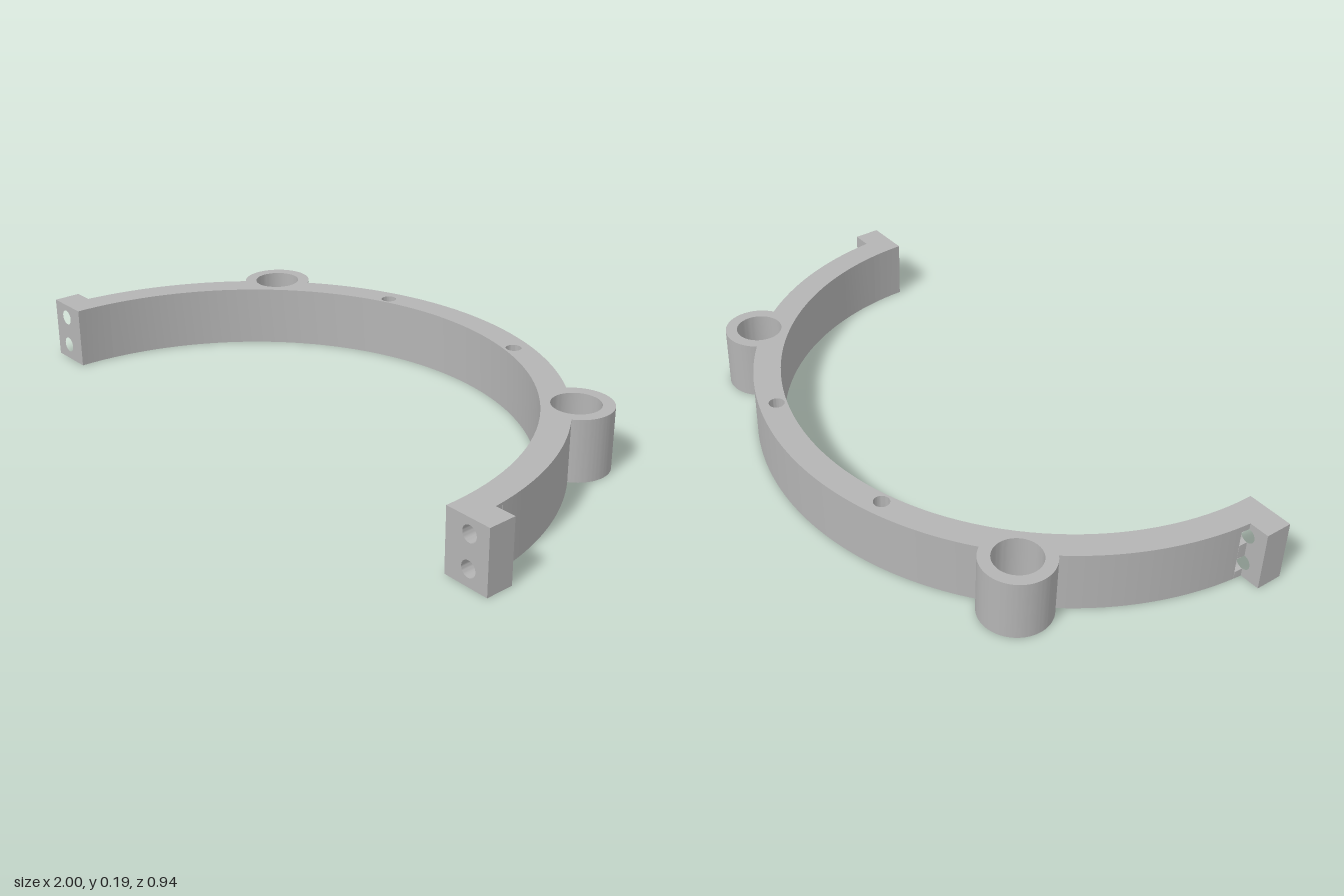
import * as THREE from 'three';
import { toCreasedNormals } from 'three/addons/utils/BufferGeometryUtils.js';

const H = 0.19;                       // height of the bracket
const RO = 0.94, RI = 0.855;          // outer and inner ring radius
const ZC = 0.47;                      // z of the ring centre (and front faces)
const TAB_BACK = 0.385, HOLE_END = 0.358;
const LUG_DIST = 0.955, LUG_R = 0.108, LUG_HOLE = 0.072;
const BOLT_X = 0.935, BOLT_R = 0.024, BOLT_Y = [0.05, 0.146];

function circle(x, y, r) {
  return new THREE.Path().absarc(x, y, r, 0, Math.PI * 2, true);
}

// Half ring with two lugs, drawn in plan (shape y = -z) and extruded upwards
function ringGeometry() {
  const rise = ZC - HOLE_END;
  const aOut = Math.asin(rise / RO), aIn = Math.asin(rise / RI);
  // half angle that a lug covers on the outer circle
  const half = Math.acos((RO ** 2 + LUG_DIST ** 2 - LUG_R ** 2) / (2 * RO * LUG_DIST));
  // angle of the same meeting point seen from the lug centre
  const lugHalf = Math.atan2(RO * Math.sin(half), RO * Math.cos(half) - LUG_DIST);

  const shape = new THREE.Shape();
  let start = aOut;
  for (const a of [Math.PI / 4, 3 * Math.PI / 4]) {
    const x = LUG_DIST * Math.cos(a), y = LUG_DIST * Math.sin(a) - ZC;
    shape.absarc(0, -ZC, RO, start, a - half, false);
    shape.absarc(x, y, LUG_R, a - lugHalf, a + lugHalf, false);
    shape.holes.push(circle(x, y, LUG_HOLE));
    start = a + half;
  }
  shape.absarc(0, -ZC, RO, start, Math.PI - aOut, false);
  shape.absarc(0, -ZC, RI, Math.PI - aIn, aIn, true);
  shape.closePath();
  for (const s of [-1, 1]) shape.holes.push(circle(0.283 * s, 0.37, BOLT_R));

  const geo = new THREE.ExtrudeGeometry(shape, { depth: H, bevelEnabled: false, curveSegments: 32 });
  geo.rotateX(-Math.PI / 2);
  return toCreasedNormals(geo, 0.5);
}

// Extrude a front-facing section from z0 to z1, bending its ring edges onto the arcs
function bentExtrude(shape, z0, z1, steps) {
  const geo = new THREE.ExtrudeGeometry(shape, { depth: z1 - z0, steps, bevelEnabled: false, curveSegments: 16 });
  geo.translate(0, 0, z0);
  const p = geo.attributes.position;
  for (let i = 0; i < p.count; i++) {
    const x = p.getX(i);
    for (const r of [RI, RO]) {
      if (Math.abs(Math.abs(x) - r) < 1e-5) {
        p.setX(i, Math.sign(x) * Math.sqrt(r * r - (p.getZ(i) - ZC) ** 2));
      }
    }
  }
  return toCreasedNormals(geo, 0.5);
}

// End flange with two bolt holes
function tabGeometry(s) {
  const shape = new THREE.Shape();
  shape.moveTo(s * RI, 0).lineTo(s, 0).lineTo(s, H).lineTo(s * RI, H).closePath();
  for (const y of BOLT_Y) shape.holes.push(circle(s * BOLT_X, y, BOLT_R));
  return bentExtrude(shape, TAB_BACK, ZC, 4);
}

// Short piece of ring behind the flange, grooved where the bolt holes run on
function grooveGeometry(s) {
  const pts = [[RI, 0], [RO, 0]];
  for (const y of BOLT_Y) {
    pts.push([RO, y - BOLT_R]);
    for (let i = 0; i <= 14; i++) {
      const a = -Math.PI / 2 - Math.PI * i / 14;
      pts.push([BOLT_X + BOLT_R * Math.cos(a), y + BOLT_R * Math.sin(a)]);
    }
    pts.push([RO, y + BOLT_R]);
  }
  pts.push([RO, H], [RI, H]);
  const shape = new THREE.Shape(pts.map(([x, y]) => new THREE.Vector2(s * x, y)));
  return bentExtrude(shape, HOLE_END, TAB_BACK, 2);
}

export function createModel() {
  const grey = new THREE.MeshStandardMaterial({ color: 0xb4b4b4 });
  grey.name = 'plain grey';
  const group = new THREE.Group();
  group.name = 'halfRingBracket';
  const add = (name, geo) => {
    const mesh = new THREE.Mesh(geo, grey);
    mesh.name = name;
    group.add(mesh);
  };

  add('ringWithLugs', ringGeometry());
  for (const [side, s] of [['left', 1], ['right', -1]]) {
    add(side + 'Flange', tabGeometry(s));
    add(side + 'GroovedRingEnd', grooveGeometry(s));
  }
  return group;
}
